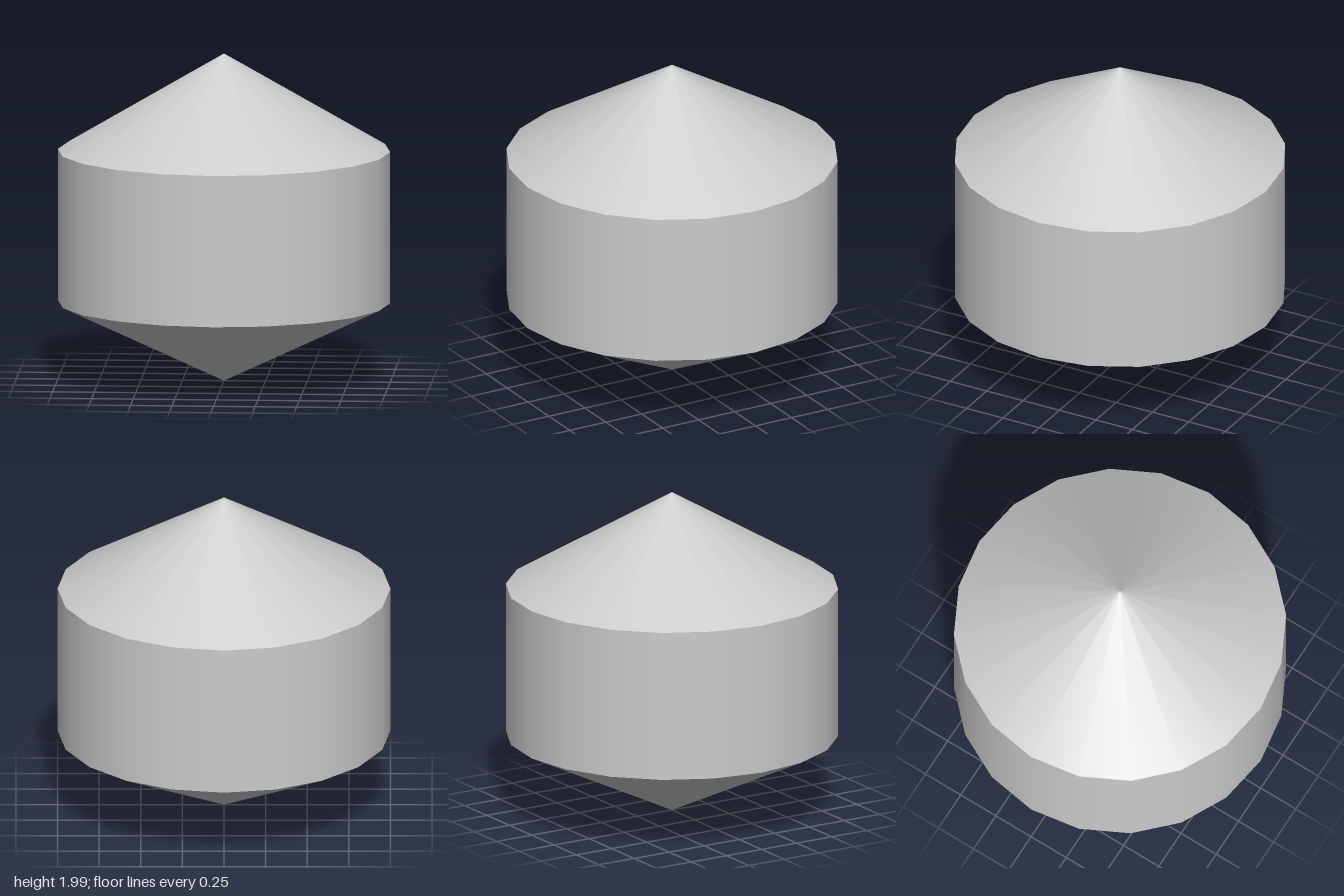
import * as THREE from 'three';

const SIDES = 20;
const RADIUS = 1;
const LOWER_RIM = 0.48;
const UPPER_RIM = 1.4;
const TIP = 1.99;

export function createModel() {
  const model = new THREE.Group();
  model.name = 'doubleConedDrum';
  const material = new THREE.MeshStandardMaterial({ color: 0xcccccc });

  // Each section is an uncapped, smooth-sided frustum between two heights
  const addSection = (name, bottomRadius, topRadius, y0, y1) => {
    const geometry = new THREE.CylinderGeometry(topRadius, bottomRadius, y1 - y0, SIDES, 1, true);
    const mesh = new THREE.Mesh(geometry, material);
    mesh.name = name;
    mesh.position.y = (y0 + y1) / 2;
    model.add(mesh);
  };

  addSection('lowerCone', 0, RADIUS, 0, LOWER_RIM);
  addSection('drumWall', RADIUS, RADIUS, LOWER_RIM, UPPER_RIM);
  addSection('upperCone', RADIUS, 0, UPPER_RIM, TIP);

  return model;
}
